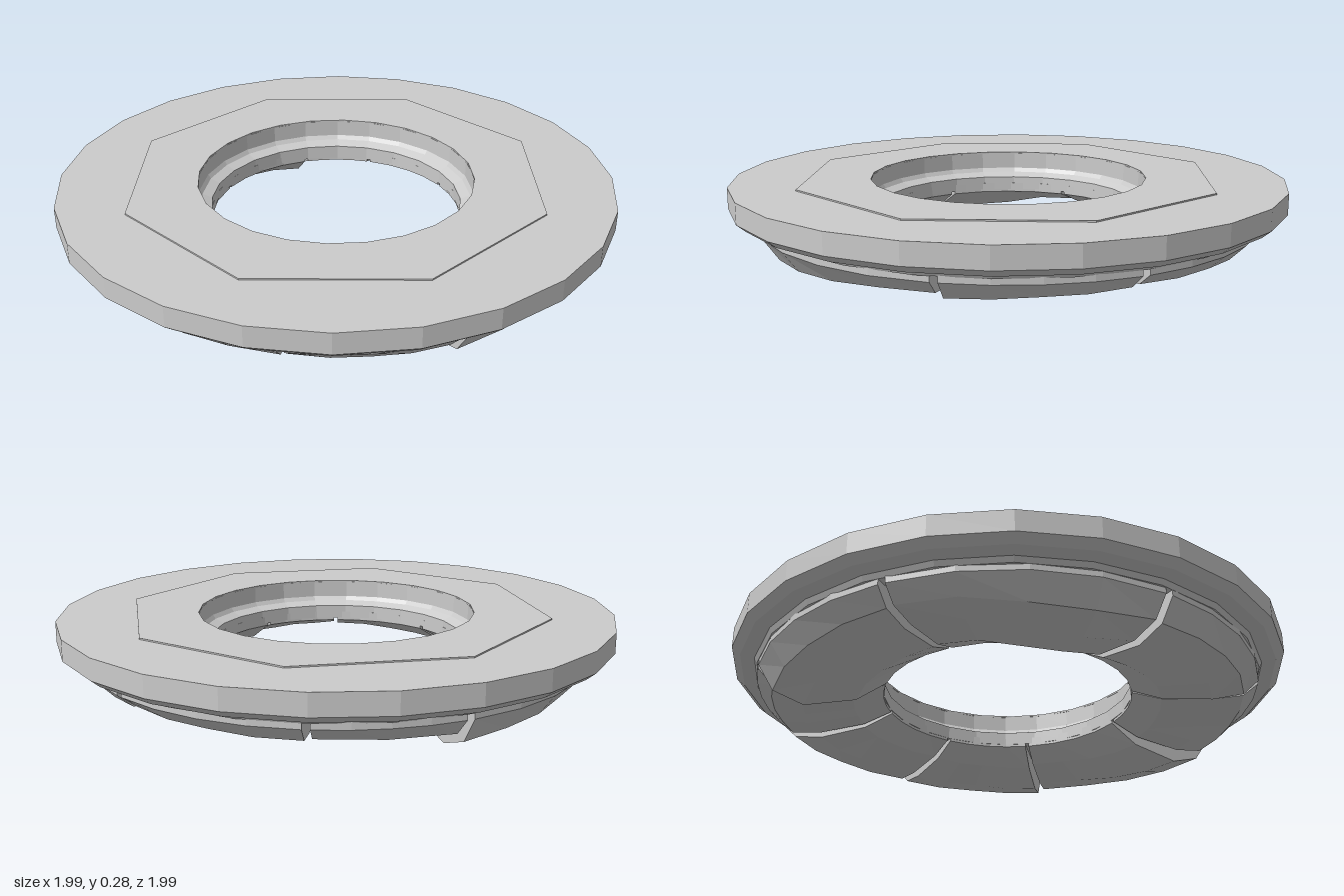
import * as THREE from 'three';

const rad = THREE.MathUtils.degToRad;
const stone = new THREE.MeshStandardMaterial({ color: 0xcccccc, flatShading: true });

function addMesh(parent, name, geometry) {
  const mesh = new THREE.Mesh(geometry, stone);
  mesh.name = name;
  parent.add(mesh);
  return mesh;
}

// Regular polygon outline in the floor plane
function polygon(radius, sides, startDeg, Type) {
  const pts = [];
  for (let i = 0; i < sides; i++) {
    const a = rad(startDeg + (i * 360) / sides);
    pts.push(new THREE.Vector2(radius * Math.cos(a), radius * Math.sin(a)));
  }
  return new Type(pts);
}

// One rough wedge between two angles; depths are its lowest heights along the arc
function rockGeometry(startDeg, endDeg, depths) {
  const positions = [], index = [];
  const last = depths.length - 1;
  depths.forEach((low, i) => {
    const a = rad(startDeg + ((endDeg - startDeg) * i) / last);
    const profile = [
      [0.455, 0.16], [0.455, 0.125], [0.56, 0.045 + low * 0.6], [0.74, low],
      [0.85, 0.04 + low * 0.6], [0.905, 0.13], [0.905, 0.16],
    ];
    for (const [r, y] of profile) positions.push(r * Math.cos(a), y, r * Math.sin(a));
  });
  const n = 7;
  for (let i = 0; i < last; i++) {
    for (let j = 0; j < n; j++) {
      const k = (j + 1) % n;
      const a = i * n + j, b = i * n + k, c = (i + 1) * n + k, d = (i + 1) * n + j;
      index.push(a, b, c, a, c, d);
    }
  }
  // Radial end walls
  const end = last * n;
  for (let j = 1; j < n - 1; j++) {
    index.push(0, j + 1, j, end, end + j, end + j + 1);
  }
  const g = new THREE.BufferGeometry();
  g.setAttribute('position', new THREE.Float32BufferAttribute(positions, 3));
  g.setIndex(index);
  const flat = g.toNonIndexed();
  flat.computeVertexNormals();
  return flat;
}

export function createModel() {
  const model = new THREE.Group();
  model.name = 'ringPlatform';

  // Faceted ring slab with chamfered rim and stepped inner wall
  const section = [
    [0.455, 0.135], [0.91, 0.15], [0.92, 0.168], [0.97, 0.175], [1, 0.2], [1, 0.275],
    [0.5, 0.275], [0.5, 0.215], [0.49, 0.2], [0.455, 0.185], [0.455, 0.135],
  ].map(([r, y]) => new THREE.Vector2(r, y));
  addMesh(model, 'ringSlab', new THREE.LatheGeometry(section, 24, rad(9)));

  // Thin eight-sided inlay on the top
  const inlay = polygon(0.775, 8, -13, THREE.Shape);
  inlay.holes.push(polygon(0.5, 24, 6, THREE.Path));
  const inlayGeometry = new THREE.ExtrudeGeometry(inlay, { depth: 0.007, bevelEnabled: false });
  inlayGeometry.rotateX(-Math.PI / 2);
  addMesh(model, 'topInlay', inlayGeometry).position.y = 0.273;

  // Rough rock wedges under the slab, separated by narrow grooves
  const rocks = [
    [2, [0.07, 0.065, 0.045, 0.03, 0.02]],
    [55, [0.06, 0.06, 0.07, 0.07, 0.08]],
    [91, [0.07, 0.065, 0.05, 0.04, 0.03]],
    [139, [0.04, 0.01, 0.02, 0.06, 0.07]],
    [197, [0.06, 0.05, 0.03, 0.02, 0]],
    [245, [0.05, 0.06, 0.06, 0.07, 0.07]],
    [277, [0.06, 0.06, 0.07, 0.07, 0.08]],
    [321, [0.07, 0.06, 0.06, 0.05, 0.045]],
  ];
  const underside = new THREE.Group();
  underside.name = 'rockUnderside';
  rocks.forEach(([start, depths], i) => {
    const next = i < rocks.length - 1 ? rocks[i + 1][0] : 362;
    addMesh(underside, `rockWedge${i + 1}`, rockGeometry(start + 0.8, next - 0.8, depths));
  });
  model.add(underside);

  return model;
}
